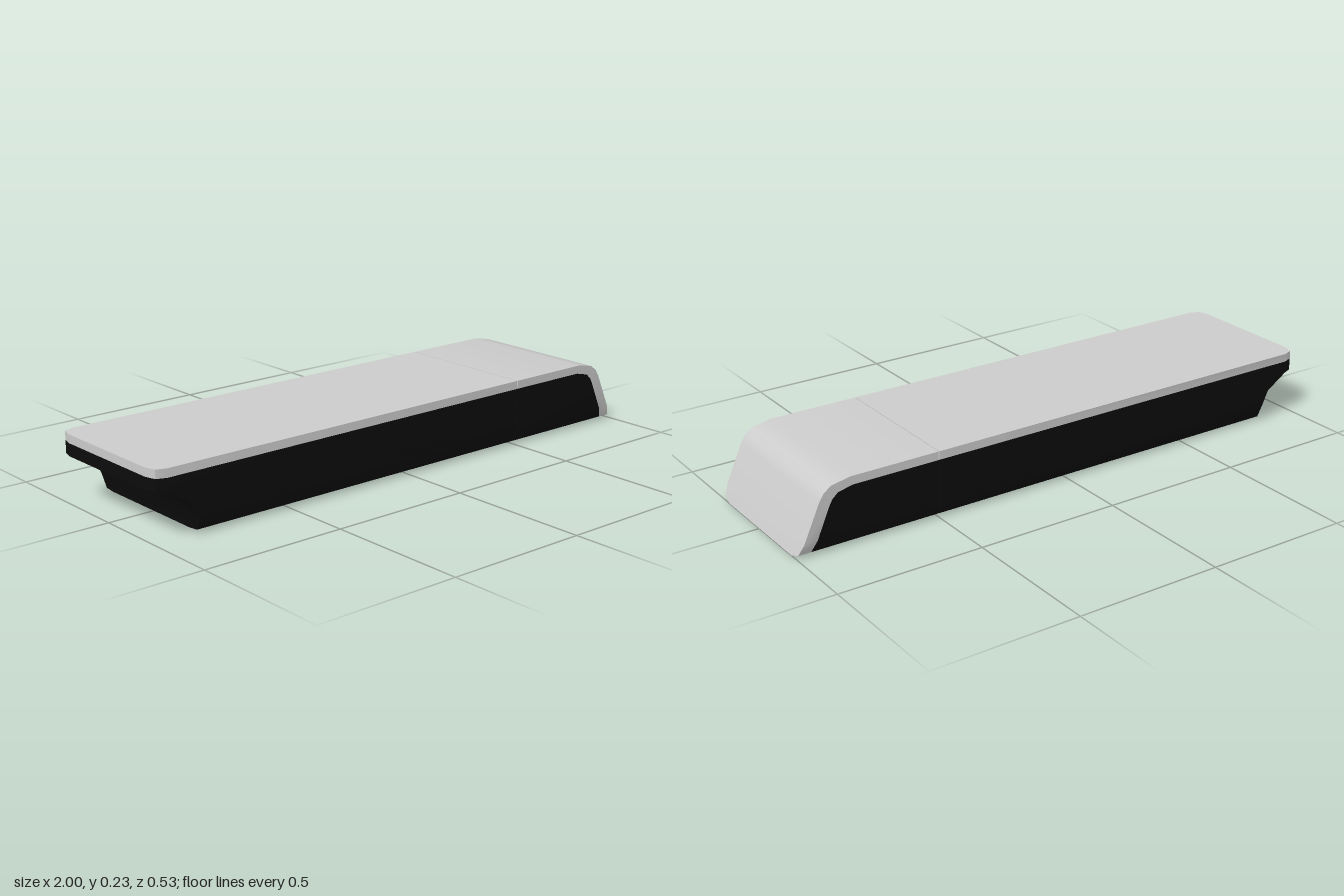
import * as THREE from 'three';
import { toCreasedNormals } from 'three/addons/utils/BufferGeometryUtils.js';

// half-width stations across z and how far each one cuts the rounded corners
const STATIONS = [
  [-0.263, 0.05], [-0.25, 0.012], [-0.213, 0], [0.213, 0], [0.25, 0.012], [0.263, 0.05],
];
const SLOPE = 0.43; // lean of the slanted tip

// Sweep a counter-clockwise side profile across z, trimming the corners
function sweep(profile) {
  const rings = STATIONS.map(([z, cut]) => profile.map(([x, y]) => {
    const lift = Math.max(0, cut - y);
    const slide = x > 0.8 ? lift * SLOPE : 0;
    return [Math.max(x - slide, -1 + cut * 0.9), y + lift, z];
  }));
  const pos = [];
  const tri = (a, b, c) => pos.push(...a, ...b, ...c);
  const n = profile.length;
  for (let i = 0; i < rings.length - 1; i++) {
    for (let j = 0; j < n; j++) {
      const k = (j + 1) % n;
      tri(rings[i][j], rings[i][k], rings[i + 1][k]);
      tri(rings[i][j], rings[i + 1][k], rings[i + 1][j]);
    }
  }
  const faces = THREE.ShapeUtils.triangulateShape(profile.map(([x, y]) => new THREE.Vector2(x, y)), []);
  const back = rings[0], front = rings[rings.length - 1];
  for (const [a, b, c] of faces) {
    tri(front[a], front[b], front[c]);
    tri(back[c], back[b], back[a]);
  }
  const geo = new THREE.BufferGeometry();
  geo.setAttribute('position', new THREE.Float32BufferAttribute(pos, 3));
  return toCreasedNormals(geo, 0.6);
}

export function createModel() {
  const group = new THREE.Group();
  const grey = new THREE.MeshStandardMaterial({ color: 0xcccccc });
  const black = new THREE.MeshStandardMaterial({ color: 0x0c0c0c });
  const add = (name, profile, material) => {
    const mesh = new THREE.Mesh(sweep(profile), material);
    mesh.name = name;
    group.add(mesh);
  };

  const top = 0.232, under = 0.203;
  const seamL = 0.499, seamR = 0.502;

  // outer and inner bend of the cap shell, from the tip upward
  const outer = [[1, 0], [0.922, 0.175], [0.906, 0.2], [0.88, 0.219], [0.815, top]];
  const inner = [[0.955, 0], [0.888, 0.155], [0.878, 0.173], [0.858, 0.191], [0.807, under]];

  // flat cover and the body below it, with the curved notch at its end
  add('topPlate', [[-1, under], [seamL, under], [seamL, top], [-1, top]], grey);
  add('body', [
    [-1, 0.16], [-0.94, 0.148], [-0.88, 0.11], [-0.857, 0.06], [-0.848, 0.008],
    [seamL, 0.008], [seamL, under], [-1, under],
  ], black);

  // cap: bent shell over a black core
  add('capShell', [...outer, [seamR, top], [seamR, under], ...inner.slice().reverse()], grey);
  add('capCore', [[seamR, 0.002], ...inner.map(([x, y]) => [x, Math.max(y, 0.002)]), [seamR, under]], black);

  return group;
}
